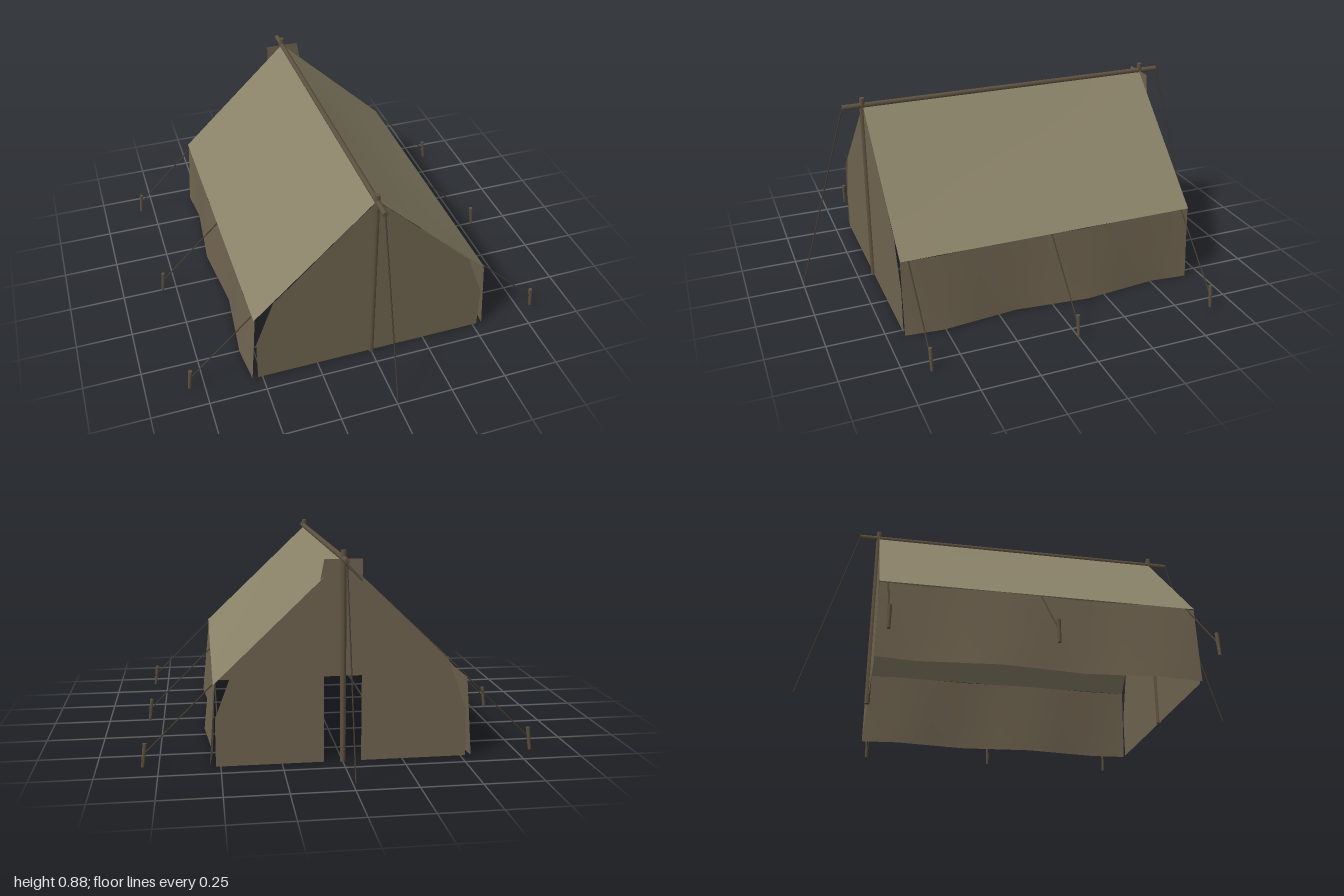
import * as THREE from 'three';

const mat = (name, color, side = THREE.FrontSide) => {
  const m = new THREE.MeshStandardMaterial({ color, side });
  m.name = name;
  return m;
};

export function createModel() {
  const group = new THREE.Group();
  const roofCanvas = mat('roofCanvas', 0x8a8268, THREE.DoubleSide);
  const wallCanvas = mat('wallCanvas', 0x706450, THREE.DoubleSide);
  const wood = mat('wood', 0x5e5140);
  const rope = mat('rope', 0x463f33);

  const add = (name, geometry, material) => {
    const mesh = new THREE.Mesh(geometry, material);
    mesh.name = name;
    group.add(mesh);
    return mesh;
  };

  // Round bar between two points
  const bar = (name, a, b, r, material, sides = 8, rEnd = r) => {
    const p = new THREE.Vector3(...a), q = new THREE.Vector3(...b);
    const d = q.clone().sub(p);
    const mesh = add(name, new THREE.CylinderGeometry(rEnd, r, d.length(), sides), material);
    mesh.position.copy(p).add(q).multiplyScalar(0.5);
    mesh.quaternion.setFromUnitVectors(new THREE.Vector3(0, 1, 0), d.normalize());
  };

  // Cloth sheet: u runs down the cloth, v runs from back to front
  const sheet = (name, side, nu, nv, fn, material) => {
    const g = new THREE.PlaneGeometry(1, 1, nv, nu);
    const pos = g.attributes.position;
    for (let i = 0; i < pos.count; i++) {
      const [x, y, z] = fn(0.5 - pos.getY(i), pos.getX(i) + 0.5);
      pos.setXYZ(i, side * x, y, z);
    }
    // keep the front of the cloth outward on both sides
    if (side > 0) {
      const ix = g.index.array;
      for (let i = 0; i < ix.length; i += 3) [ix[i], ix[i + 1]] = [ix[i + 1], ix[i]];
    }
    g.computeVertexNormals();
    add(name, g, material);
  };

  const L = 0.675;
  for (const s of [-1, 1]) {
    const label = s > 0 ? 'left' : 'right';

    // Roof slope with a slight sag
    sheet(label + 'Roof', s, 6, 12, (u, v) => {
      const sag = 0.007 * Math.sin(Math.PI * u) * Math.sin(Math.PI * v);
      return [0.525 * u - sag * 0.7, 0.842 - 0.5 * u - sag * 0.7, (v * 2 - 1) * L];
    }, roofCanvas);

    // Side wall, rippling towards the ground
    sheet(label + 'Wall', s, 4, 8, (u, v) => {
      const wave = -Math.sin(v * 4 * Math.PI);
      return [0.52 + 0.025 * u + (0.006 + 0.01 * u) * wave, 0.34 * (1 - u), (v * 2 - 1) * L];
    }, wallCanvas);

    // Guy ropes and pegs
    for (const z of [-0.64, 0, 0.64]) {
      bar('guyRope', [s * 0.52, 0.342, z], [s * 0.803, 0.06, z], 0.003, rope, 6);
      bar('peg', [s * 0.815, 0, z], [s * 0.803, 0.1, z], 0.007, wood, 6, 0.009);
    }
  }

  // Closed front panel
  const half = [[0.52, 0], [0.52, 0.2], [0.44, 0.415], [0.09, 0.755]];
  const mirrored = half.map(([x, y]) => [-x, y]).reverse();
  const outline = (pts) => new THREE.Shape(pts.map((p) => new THREE.Vector2(...p)));
  add('frontPanel', new THREE.ShapeGeometry(outline([...half, [0, 0.838], ...mirrored])), wallCanvas)
    .position.z = L;

  // Parted back flaps with overlapping top corners
  const gap = 0.077;
  const flap = [[gap, 0], ...half, [gap, 0.76]];
  const flip = (pts) => pts.map(([x, y]) => [-x, y]);
  const corners = {
    left: [[0, 0.84], [0.093, 0.755], [gap, 0.84]],
    right: [[0, 0.84], [-gap, 0.84], [-gap, 0.76]],
  };
  for (const [side, pts] of [['left', flap], ['right', flip(flap)]]) {
    for (const [part, p] of [['BackFlap', pts], ['FlapTop', corners[side]]]) {
      const g = new THREE.ShapeGeometry(outline(p));
      g.rotateY(Math.PI);
      g.scale(-1, 1, 1); // back-facing, same x
      const ix = g.index.array;
      for (let i = 0; i < ix.length; i += 3) [ix[i], ix[i + 1]] = [ix[i + 1], ix[i]];
      g.computeVertexNormals();
      add(side + part, g, wallCanvas).position.z = -L;
    }
  }

  // Ridge pole, uprights and end ropes
  bar('ridgePole', [0, 0.841, -0.765], [0, 0.841, 0.765], 0.012, wood);
  for (const s of [-1, 1]) {
    bar('upright', [0, 0, s * 0.677], [0, 0.875, s * 0.677], 0.012, wood);
    bar('endRope', [0, 0.84, s * 0.765], [0, 0.03, s * 0.998], 0.003, rope, 6);
  }
  return group;
}
